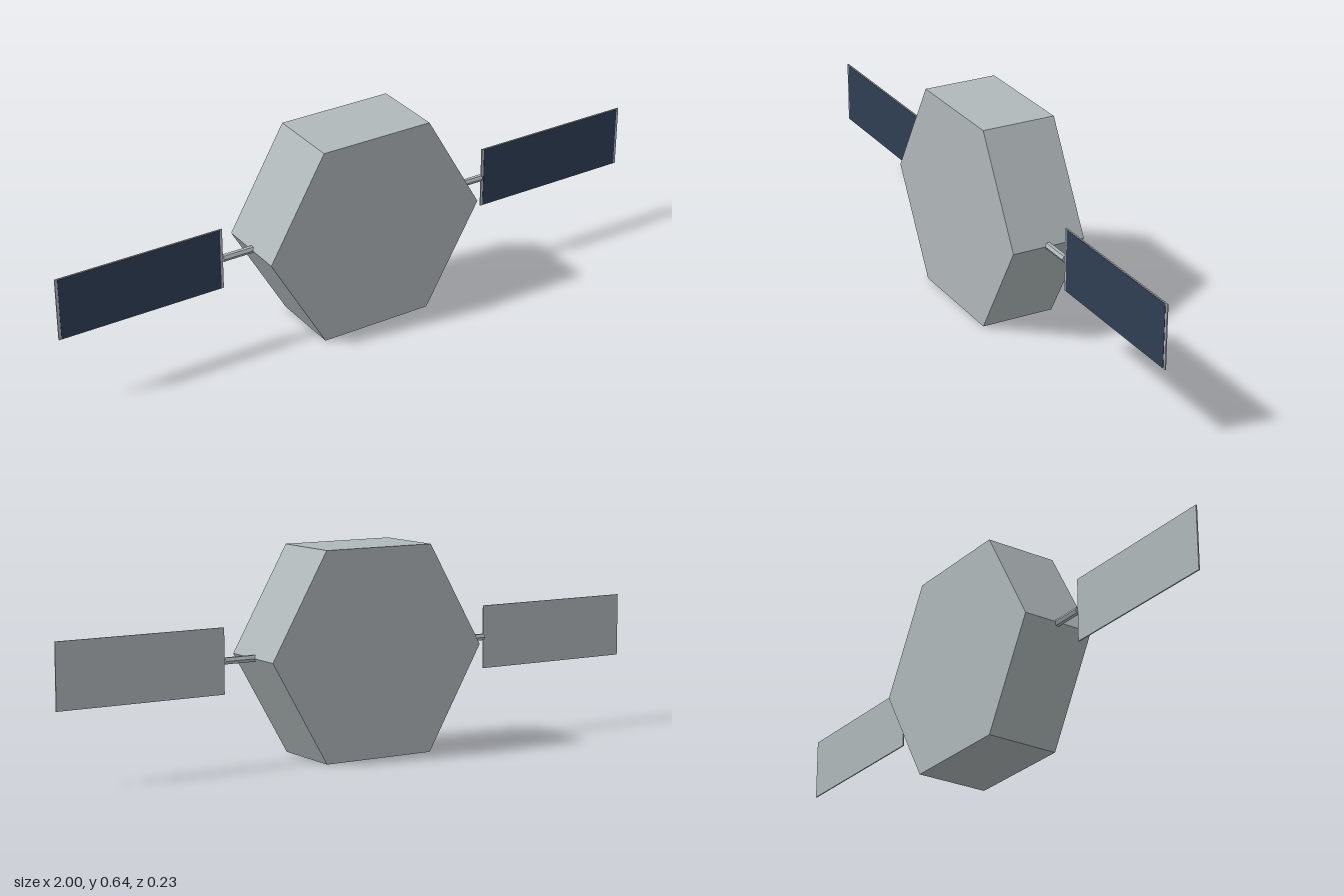
import * as THREE from 'three';

const bodyGrey = new THREE.MeshStandardMaterial({ color: 0xb0b8ba, flatShading: true });
bodyGrey.name = 'body grey';
const cellNavy = new THREE.MeshStandardMaterial({ color: 0x2f3e54, flatShading: true });
cellNavy.name = 'solar cell navy';

const CENTRE_Y = 0.318;

function addPart(parent, name, geometry, material, x = 0, z = 0) {
  const mesh = new THREE.Mesh(geometry, material);
  mesh.name = name;
  mesh.position.set(x, 0, z);
  parent.add(mesh);
}

export function createModel() {
  const model = new THREE.Group();
  model.name = 'satellite';
  const assembly = new THREE.Group();
  assembly.name = 'satelliteAssembly';
  assembly.position.y = CENTRE_Y;
  model.add(assembly);

  // Hexagonal body, flat sides on top and bottom, corners at left and right
  const bodyGeometry = new THREE.CylinderGeometry(0.367, 0.367, 0.234, 6)
    .rotateY(Math.PI / 6)
    .rotateX(Math.PI / 2);
  addPart(assembly, 'body', bodyGeometry, bodyGrey);

  // One wing on each side: hexagonal strut, panel and cells on the front only
  for (const [side, label] of [[1, 'left'], [-1, 'right']]) {
    const wing = new THREE.Group();
    wing.name = label + 'Wing';
    const strut = new THREE.CylinderGeometry(0.011, 0.011, 0.113, 6).rotateZ(Math.PI / 2);
    addPart(wing, label + 'Strut', strut, bodyGrey, side * 0.4065);
    addPart(wing, label + 'Panel', new THREE.BoxGeometry(0.537, 0.198, 0.004), bodyGrey, side * 0.7315);
    addPart(wing, label + 'SolarCells', new THREE.BoxGeometry(0.521, 0.194, 0.001), cellNavy, side * 0.7315, 0.0024);
    assembly.add(wing);
  }
  return model;
}
